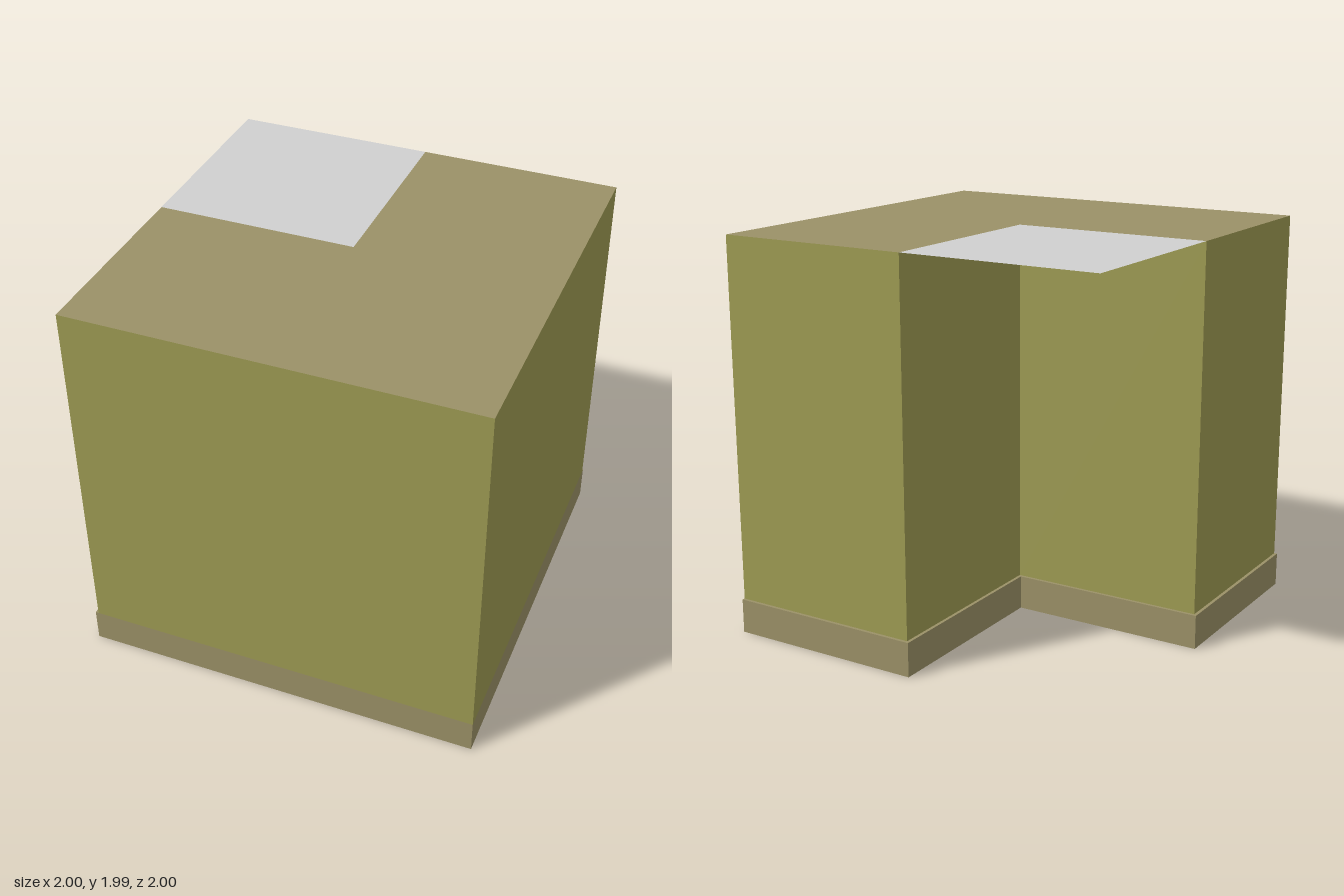
import * as THREE from 'three';

const BAND_TOP = 0.172, ROOF_Y = 1.985;

function mat(name, color) {
  const m = new THREE.MeshStandardMaterial({ color, side: THREE.DoubleSide });
  m.name = name;
  return m;
}

// L-shaped plan as [x, z]: far = outer limit of the notched sides, inner = notch corner
const plan = (far, inner) => [[1, far], [inner, far], [inner, inner], [far, inner], [far, 1], [1, 1]];

// Strip of quads joining a lower loop to an upper loop over the first n sides
function ribbon(low, y0, high, y1, n = low.length) {
  const pos = [];
  for (let i = 0; i < n; i++) {
    const j = (i + 1) % low.length;
    const a = [low[i][0], y0, low[i][1]], b = [low[j][0], y0, low[j][1]];
    const c = [high[j][0], y1, high[j][1]], d = [high[i][0], y1, high[i][1]];
    pos.push(...a, ...b, ...c, ...a, ...c, ...d);
  }
  const g = new THREE.BufferGeometry();
  g.setAttribute('position', new THREE.Float32BufferAttribute(pos, 3));
  g.computeVertexNormals();
  return g;
}

// Flat horizontal sheet facing up
function sheet(points, y) {
  const shape = new THREE.Shape(points.map(([x, z]) => new THREE.Vector2(x, -z)));
  return new THREE.ShapeGeometry(shape).rotateX(-Math.PI / 2).translate(0, y, 0);
}

export function createModel() {
  const model = new THREE.Group();
  model.name = 'cornerBlock';
  const olive = mat('olive', 0x9e9b53);
  const tan = mat('tan', 0x9b9167);
  const grey = mat('lightGrey', 0xd0d0d0);

  const add = (name, geometry, material) => {
    const mesh = new THREE.Mesh(geometry, material);
    mesh.name = name;
    model.add(mesh);
  };

  const wall = plan(-0.984, 0.008);
  const band = plan(-1, -0.008);

  // Hollow shell, open at the bottom
  add('walls', ribbon(wall, BAND_TOP, wall, ROOF_Y), olive);
  add('baseBand', ribbon(band, 0, band, BAND_TOP), tan);
  // The band steps out only on the four notched sides
  add('baseLedge', ribbon(band, BAND_TOP, wall, BAND_TOP, 4), tan);
  add('roof', sheet(wall, ROOF_Y), tan);

  // Overhanging panel that fills the notch at roof level
  const [p, q] = [-0.984, 0.008];
  add('canopy', sheet([[p, p], [p, q], [q, q], [q, p]], ROOF_Y), grey);

  return model;
}
